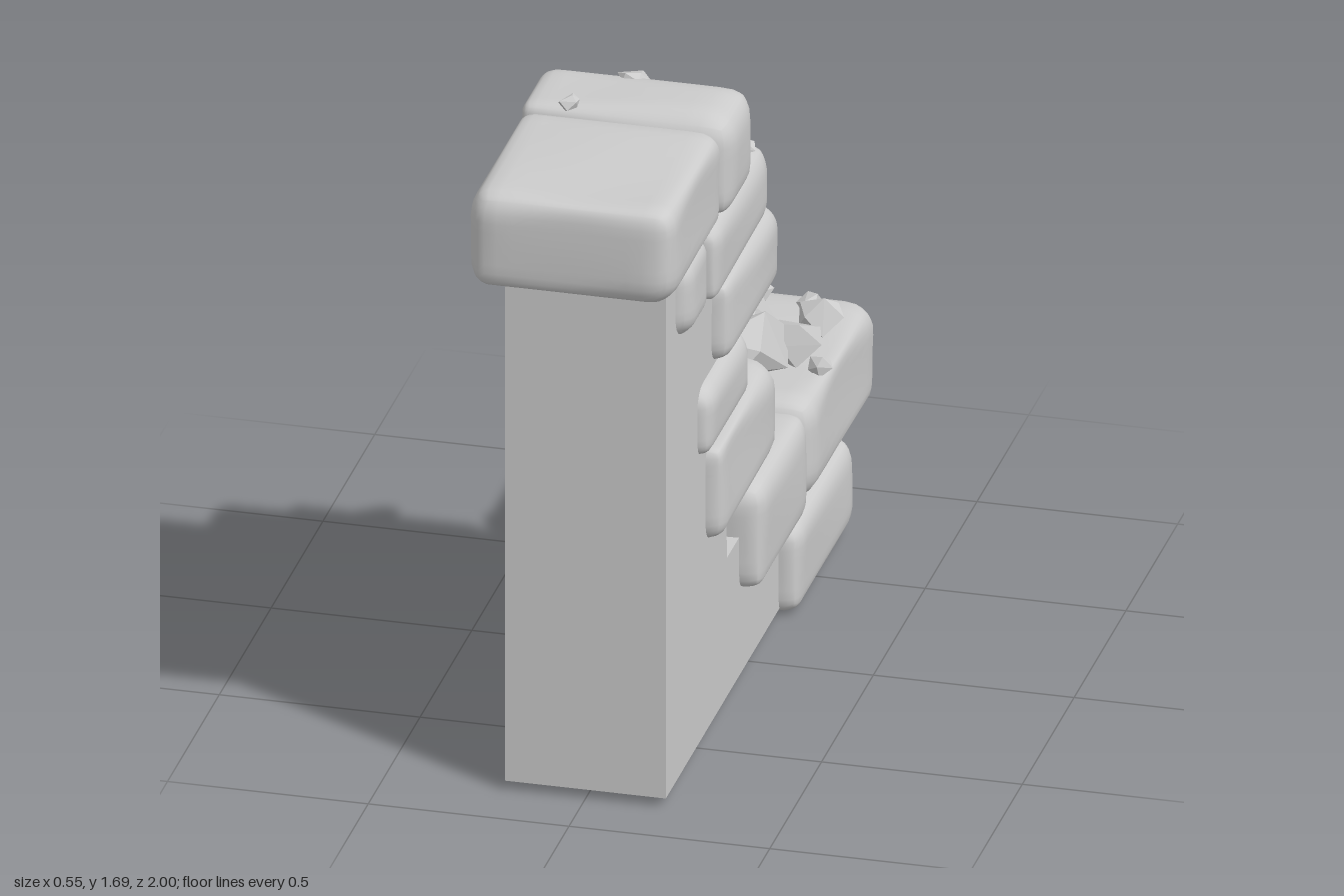
import * as THREE from 'three';
import { mergeVertices } from 'three/addons/utils/BufferGeometryUtils.js';
import { ConvexGeometry } from 'three/addons/geometries/ConvexGeometry.js';

const material = new THREE.MeshStandardMaterial({ color: 0xcccccc });

function seeded(seed) {
  let s = seed * 7919 + 17;
  return () => {
    s = (s * 16807) % 2147483647;
    return s / 2147483647;
  };
}

// Worn block: a box with uneven rounding along its edges and a gentle surface wave
function stoneGeometry(w, h, d, seed) {
  let geo = new THREE.BoxGeometry(2, 2, 2, 16, 14, 16);
  geo.deleteAttribute('uv');
  geo.deleteAttribute('normal');
  geo = mergeVertices(geo);
  const half = new THREE.Vector3(w, h, d).multiplyScalar(0.5);
  const pos = geo.attributes.position;
  const p = new THREE.Vector3(), core = new THREE.Vector3();
  const ease = (t) => Math.sin(t * Math.PI / 2); // gathers the grid near the edges
  for (let i = 0; i < pos.count; i++) {
    p.fromBufferAttribute(pos, i);
    p.set(ease(p.x), ease(p.y), ease(p.z)).multiply(half);
    const wave = Math.sin(p.x * 9 + seed * 1.7) * Math.sin(p.z * 8 + seed * 2.3)
      + 0.6 * Math.sin(p.y * 13 + p.x * 5 - p.z * 6 + seed * 3.1);
    const r = 0.055 + 0.016 * wave;
    core.set(
      THREE.MathUtils.clamp(p.x, r - half.x, half.x - r),
      THREE.MathUtils.clamp(p.y, r - half.y, half.y - r),
      THREE.MathUtils.clamp(p.z, r - half.z, half.z - r));
    p.sub(core).normalize().multiplyScalar(r + 0.006 * wave).add(core);
    pos.setXYZ(i, p.x, p.y, p.z);
  }
  geo.computeVertexNormals();
  return geo;
}

// Faceted chip: hull of a few points scattered evenly round a ball
function chipGeometry(sx, sy, sz, seed) {
  const rand = seeded(seed);
  const points = [];
  const n = 10;
  for (let i = 0; i < n; i++) {
    const y = 1 - 2 * (i + 0.5) / n;
    const a = i * 2.4 + rand() * 0.8;
    const ring = Math.sqrt(1 - y * y);
    const k = 0.9 + rand() * 0.25;
    points.push(new THREE.Vector3(Math.cos(a) * ring * sx, y * sy, Math.sin(a) * ring * sz).multiplyScalar(k));
  }
  return new ConvexGeometry(points);
}

export function createModel() {
  const model = new THREE.Group();

  // Plain wall core, a side profile in (z, y) stretched across x
  const profile = new THREE.Shape([
    [0.84, 0.03], [0.84, 1.5], [0.3, 1.5], [0.25, 0.4], [-0.6, 0.4], [-0.6, 0.03],
  ].map(([z, y]) => new THREE.Vector2(-z, y)));
  const coreGeo = new THREE.ExtrudeGeometry(profile, { depth: 0.4, bevelEnabled: false });
  coreGeo.translate(0, 0, -0.2).rotateY(Math.PI / 2);
  const core = new THREE.Mesh(coreGeo, material);
  core.name = 'wallCore';
  model.add(core);

  // Stones: name, z from, z to, y from, y to, half width, tilt about x
  const stones = [
    ['capStoneFront', 0.48, 1.0, 1.41, 1.665, 0.255, 0],
    ['capStoneBack', 0.235, 0.485, 1.41, 1.67, 0.265, 0],
    ['upperSmallStone', 0.53, 0.75, 1.2, 1.41, 0.235, 0],
    ['upperStone', 0.015, 0.53, 1.205, 1.415, 0.25, 0.02],
    ['ledgeStone', -0.11, 0.4, 0.98, 1.2, 0.245, 0],
    ['recessedStone', 0.14, 0.54, 0.79, 0.98, 0.235, 0],
    ['middleStone', -0.08, 0.46, 0.535, 0.795, 0.245, 0.02],
    ['stepStoneFront', -0.335, 0.135, 0.25, 0.535, 0.258, 0],
    ['stepStoneBack', -0.995, -0.335, 0.265, 0.53, 0.255, -0.015],
    ['footStone', -0.8, -0.245, 0.01, 0.255, 0.252, 0],
  ];
  stones.forEach(([name, z0, z1, y0, y1, half, tilt], i) => {
    const stone = new THREE.Mesh(stoneGeometry(half * 2, y1 - y0, z1 - z0, i + 1), material);
    stone.position.set(0, (y0 + y1) / 2, (z0 + z1) / 2);
    stone.rotation.x = tilt;
    stone.name = name;
    model.add(stone);
  });

  // Rubble chips: x, y, z, half sizes in x, y, z
  const chips = [
    // heap on the low step
    [-0.03, 0.56, -0.885, 0.06, 0.035, 0.05],
    [0.12, 0.55, -0.87, 0.035, 0.03, 0.035],
    [-0.03, 0.58, -0.74, 0.1, 0.065, 0.065],
    [0.17, 0.57, -0.77, 0.055, 0.05, 0.055],
    [0.14, 0.58, -0.62, 0.085, 0.06, 0.075],
    [0.0, 0.6, -0.62, 0.085, 0.065, 0.085],
    [0.04, 0.6, -0.5, 0.145, 0.085, 0.11],
    [-0.13, 0.58, -0.39, 0.08, 0.05, 0.07],
    [0.0, 0.565, -0.315, 0.07, 0.04, 0.06],
    [0.22, 0.54, -0.565, 0.035, 0.03, 0.03],
    // on the ledge stone
    [0.03, 1.255, -0.05, 0.09, 0.05, 0.07],
    [-0.245, 1.24, 0.12, 0.025, 0.025, 0.035],
    // on the upper stone
    [-0.1, 1.445, 0.16, 0.055, 0.04, 0.055],
    [0.1, 1.47, 0.16, 0.085, 0.075, 0.065],
    [0.18, 1.42, 0.08, 0.055, 0.025, 0.035],
    // on the cap
    [-0.03, 1.665, 0.265, 0.042, 0.02, 0.035],
    [-0.14, 1.675, 0.46, 0.03, 0.02, 0.022],
  ];
  const rubble = new THREE.Group();
  rubble.name = 'rubble';
  chips.forEach(([x, y, z, sx, sy, sz], i) => {
    const chip = new THREE.Mesh(chipGeometry(sx, sy, sz, i + 1), material);
    chip.position.set(x, y, z);
    chip.rotation.set(Math.sin(i * 2.1) * 0.25, Math.sin(i * 1.3) * 0.6, Math.cos(i * 1.9) * 0.25);
    chip.name = 'rubbleChip';
    rubble.add(chip);
  });
  model.add(rubble);

  return model;
}
